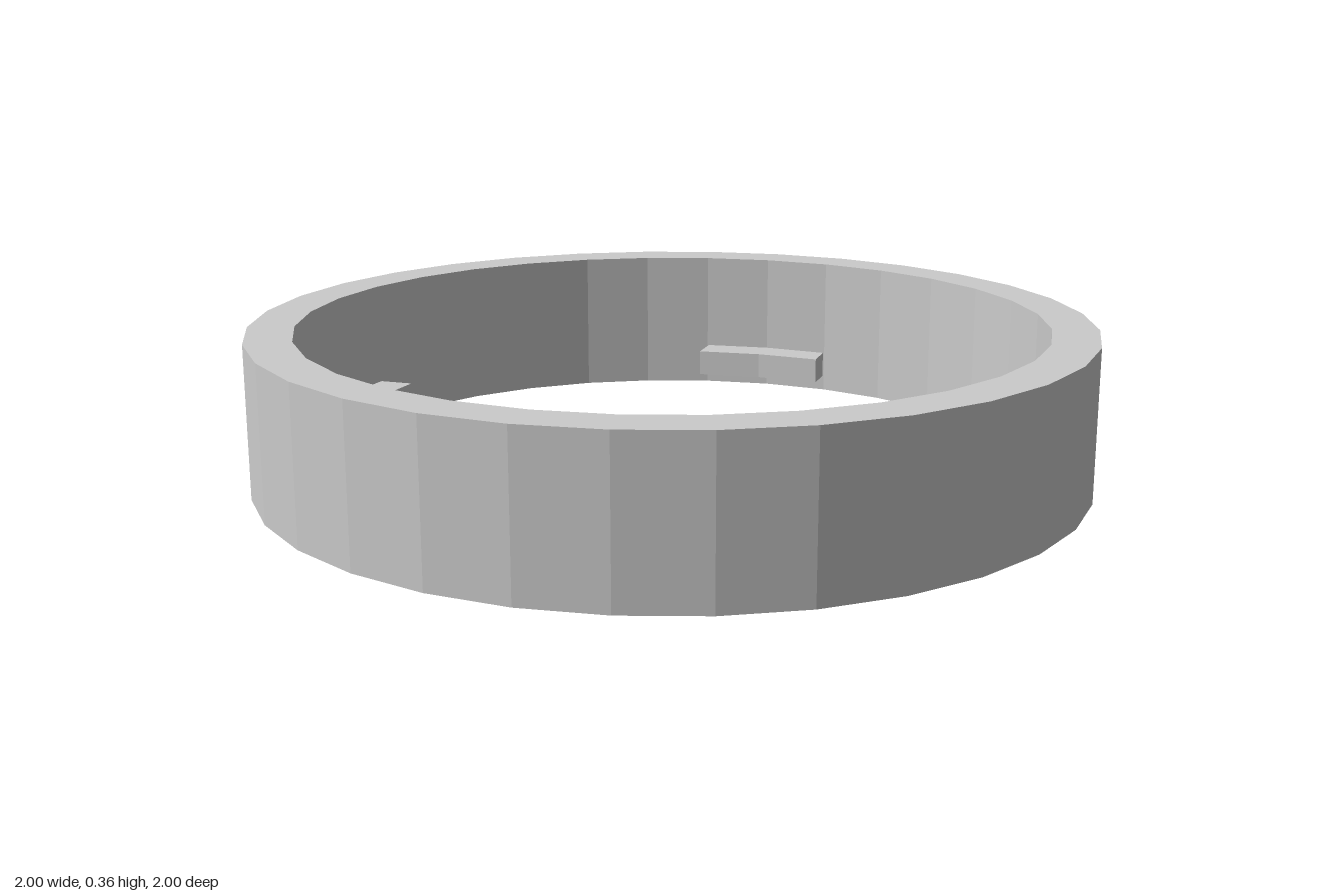
import * as THREE from 'three';

const SIDES = 32, HEIGHT = 0.363;
const material = new THREE.MeshStandardMaterial({ color: 0xcccccc, flatShading: true });

const circle = (r) => Array.from({ length: SIDES }, (_, i) => {
  const a = (i / SIDES) * Math.PI * 2;
  return new THREE.Vector2(r * Math.cos(a), r * Math.sin(a));
});

// Extrudes a plan outline upward from y = bottom
function slab(name, shape, bottom, top) {
  const geometry = new THREE.ExtrudeGeometry(shape, { depth: top - bottom, bevelEnabled: false });
  geometry.rotateX(-Math.PI / 2).translate(0, bottom, 0);
  const mesh = new THREE.Mesh(geometry, material);
  mesh.name = name;
  return mesh;
}

export function createModel() {
  const model = new THREE.Group();
  model.name = 'ringWithTabs';

  // Faceted ring wall
  const ringShape = new THREE.Shape(circle(1));
  ringShape.holes.push(new THREE.Path(circle(0.89).reverse()));
  model.add(slab('ring', ringShape, 0, HEIGHT));

  // Four small bent tabs on the inside wall, near the bottom
  const tabOutline = [[-0.17, 0.785], [0, 0.8], [0.17, 0.785], [0.17, 0.874], [0, 0.89], [-0.17, 0.874]];
  const tabShape = new THREE.Shape(tabOutline.map(([x, y]) => new THREE.Vector2(x, y)));
  ['backTab', 'rightTab', 'frontTab', 'leftTab'].forEach((name, i) => {
    const tab = slab(name, tabShape, 0.04, 0.107);
    tab.rotation.y = (i * Math.PI) / 2;
    if (i % 2) tab.position.z = -0.008; // side tabs sit slightly back
    model.add(tab);
  });

  return model;
}
